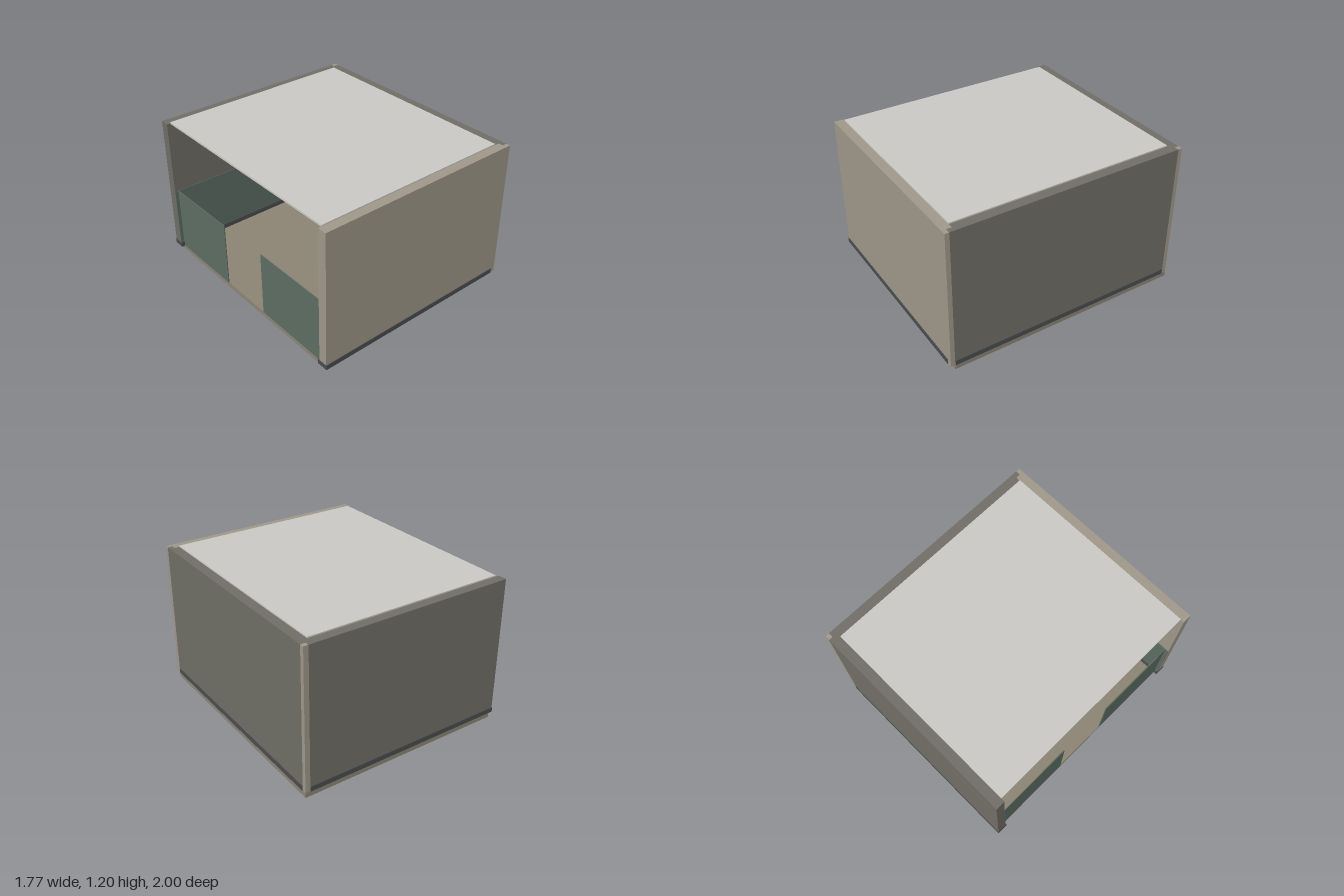
import * as THREE from 'three';

const mat = (color) => new THREE.MeshStandardMaterial({ color });

export function createModel() {
  const room = new THREE.Group();
  room.name = 'room';
  const beige = mat(0xa0988a), taupe = mat(0x706e66), floorMat = mat(0x8c8575), slate = mat(0x4a4d4f);
  const green = mat(0x5e6d64), magenta = mat(0xdd00dd), brown = mat(0x5c4a3c), pale = mat(0xcccac6);

  // Box given by its extents on each axis
  const box = (name, material, [x0, x1], [y0, y1], [z0, z1], parent = room) => {
    const mesh = new THREE.Mesh(new THREE.BoxGeometry(x1 - x0, y1 - y0, z1 - z0), material);
    mesh.position.set((x0 + x1) / 2, (y0 + y1) / 2, (z0 + z1) / 2);
    mesh.name = name;
    parent.add(mesh);
    return mesh;
  };
  const wallY = [0.04, 1.19], trimY = [0.04, 0.08], paintY = [0.04, 0.58];

  // Floor and roof slabs
  box('floor', floorMat, [-0.85, 0.88], [0, 0.04], [-0.995, 0.96]);
  box('roof', pale, [-0.85, 0.8], [1.185, 1.2], [-0.92, 0.92]);

  // Front and back walls with corner posts, lower paint and baseboards
  for (const s of [1, -1]) {
    const side = s > 0 ? 'front' : 'back';
    const span = (a, b) => (s > 0 ? [a, b] : [-b, -a]);
    box(side + 'Wall', s > 0 ? beige : taupe, [-0.88, 0.84], wallY, span(0.92, 0.995));
    box(side + 'CornerPost', beige, [0.84, 0.88], wallY, span(0.96, 0.995));
    box(side + 'LowerPaint', green, [-0.88, 0.8], paintY, span(0.915, 0.921));
    box(side + 'Baseboard', slate, [-0.882, 0.84], trimY, span(0.908, 1));
  }

  // Closed side wall
  box('sideWallOuter', taupe, [0.84, 0.88], wallY, [-0.96, 0.96]);
  box('sideWallInner', taupe, [0.8, 0.84], wallY, [-0.92, 0.92]);
  box('sideLowerPaint', green, [0.795, 0.801], paintY, [-0.915, 0.915]);
  box('sideBaseboard', slate, [0.788, 0.884], trimY, [-0.955, 0.955]);

  // Low panels on the open side, with the doorway between them
  box('entryPanelBack', green, [-0.853, -0.846], paintY, [-0.92, -0.25]);
  box('entryPanelFront', green, [-0.853, -0.846], paintY, [0.22, 0.92]);

  // Drawer cabinet against the front wall
  const cabinet = new THREE.Group();
  cabinet.name = 'drawerCabinet';
  room.add(cabinet);
  box('cabinetBody', magenta, [-0.06, 0.18], [0.04, 0.33], [0.62, 0.91], cabinet);
  box('cabinetTop', brown, [-0.07, 0.19], [0.33, 0.365], [0.61, 0.915], cabinet);
  box('paper', pale, [0.03, 0.13], [0.365, 0.369], [0.71, 0.82], cabinet);
  for (const y of [0.12, 0.2, 0.28]) {
    const knob = new THREE.Mesh(new THREE.SphereGeometry(0.008, 12, 8), magenta);
    knob.name = 'drawerKnob';
    knob.position.set(0.01, y, 0.616);
    cabinet.add(knob);
  }

  // Second low cabinet further in
  box('sideCabinet', magenta, [0.13, 0.4], [0.04, 0.38], [0.28, 0.56]);

  // Disc hanging on a short cord near the front wall
  const disc = new THREE.Mesh(new THREE.CylinderGeometry(0.072, 0.072, 0.03, 32), slate);
  disc.name = 'hangingDisc';
  disc.rotation.z = Math.PI / 2;
  disc.position.set(-0.5, 0.67, 0.85);
  room.add(disc);
  const cord = new THREE.Mesh(new THREE.CylinderGeometry(0.004, 0.004, 0.1, 8), slate);
  cord.name = 'discCord';
  cord.position.set(-0.5, 0.785, 0.85);
  room.add(cord);

  return room;
}
